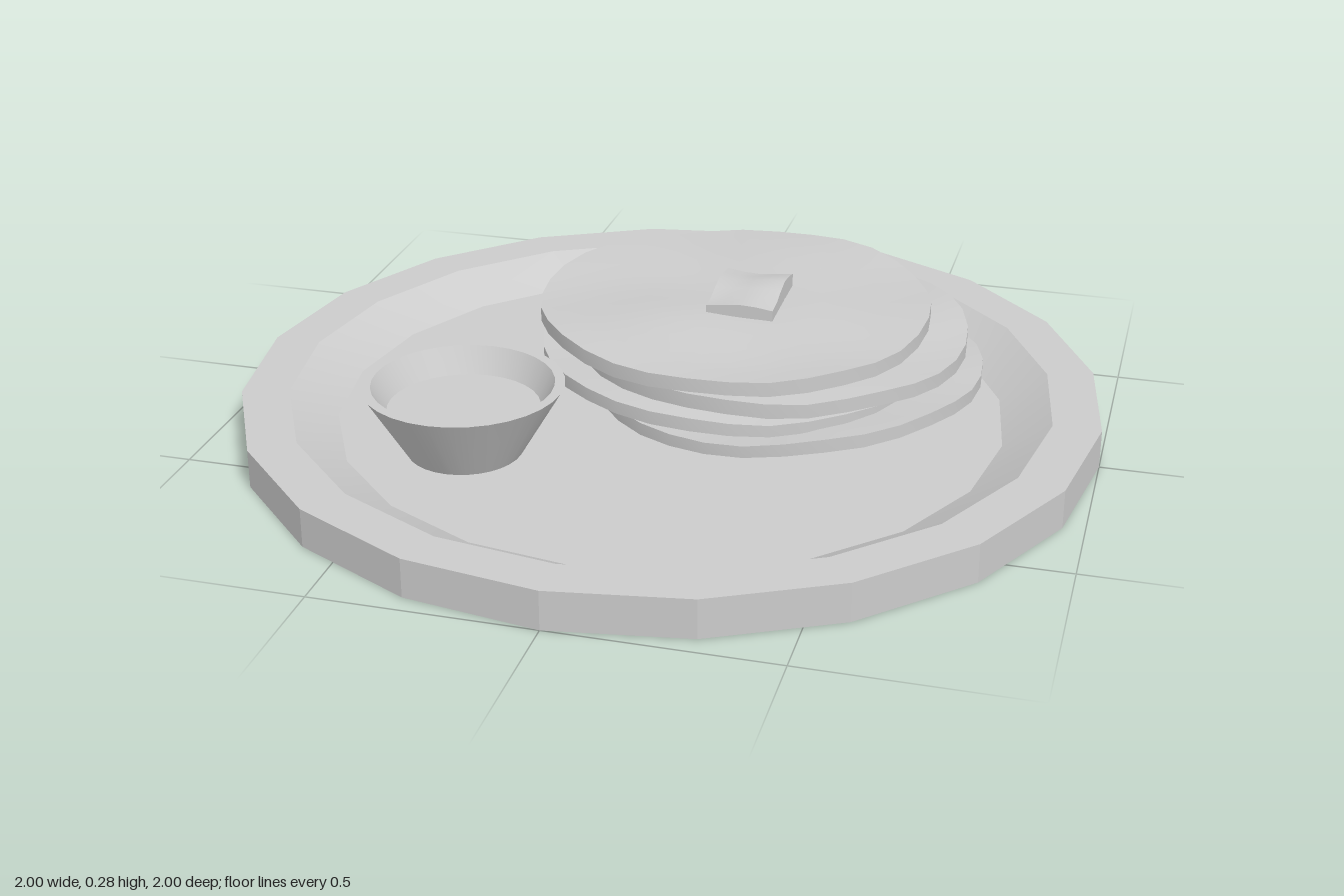
import * as THREE from 'three';
import { toCreasedNormals } from 'three/addons/utils/BufferGeometryUtils.js';

const grey = () => new THREE.MeshStandardMaterial({ color: 0xcccccc });
const points = (list) => list.map(([r, y]) => new THREE.Vector2(r, y));

function part(name, geometry, crease) {
  const mesh = new THREE.Mesh(toCreasedNormals(geometry, crease), grey());
  mesh.name = name;
  return mesh;
}

// Gentle uneven height field, different for every seed
function wave(x, z, seed) {
  return 0.5 * Math.sin(7 * x + 2.1 * seed) * Math.cos(6 * z + 1.3 * seed)
    + 0.3 * Math.sin(13 * z + 5 * x + seed)
    + 0.2 * Math.sin(17 * x - 9 * z + 3 * seed);
}

// Thin disc with a wavy body and a slight sideways tilt
function pancake({ name, x, y, seed, tilt, thick, amp }) {
  const R = 0.465;
  const rings = [0, 0.15, 0.3, 0.45, 0.6, 0.75, 0.88, 1].map((t) => t * R);
  const profile = [
    ...rings.map((r) => [r, -thick / 2]),
    ...rings.slice().reverse().map((r) => [r, thick / 2]),
  ];
  const geometry = new THREE.LatheGeometry(points(profile), 32);
  const p = geometry.attributes.position;
  for (let i = 0; i < p.count; i++) {
    const px = p.getX(i), pz = p.getZ(i);
    const swell = p.getY(i) > 0 ? 0.3 * amp * wave(pz, px, seed + 2) : 0;
    p.setY(i, p.getY(i) + amp * wave(px, pz, seed) + swell + tilt * px);
  }
  const mesh = part(name, geometry, 0.7);
  mesh.position.set(x, y, -0.2);
  return mesh;
}

export function createModel() {
  const model = new THREE.Group();
  model.name = 'pancakePlate';

  // Faceted plate with a flat rim and a sunken floor
  model.add(part('plate', new THREE.LatheGeometry(points([
    [0, 0], [1, 0], [1, 0.09], [0.89, 0.09], [0.78, 0.025], [0, 0.025],
  ]), 20), 0.2));

  // Stack of pancakes, bottom to top
  [
    { x: 0.235, y: 0.07, seed: 1, tilt: 0.05, thick: 0.03, amp: 0.014 },
    { x: 0.11, y: 0.118, seed: 4, tilt: -0.02, thick: 0.03, amp: 0.014 },
    { x: 0.195, y: 0.17, seed: 2, tilt: -0.005, thick: 0.035, amp: 0.013 },
    { x: 0.105, y: 0.216, seed: 6, tilt: -0.005, thick: 0.034, amp: 0.013 },
  ].forEach((layer, i) => model.add(pancake({ name: `pancake${i + 1}`, ...layer })));

  // Softened butter pat, sagging with the top pancake
  const pat = new THREE.BoxGeometry(0.16, 0.045, 0.22, 4, 1, 5);
  const p = pat.attributes.position;
  for (let i = 0; i < p.count; i++) {
    const x = p.getX(i), z = p.getZ(i);
    p.setY(i, p.getY(i) + 0.009 * Math.cos(28 * z + 0.6) + 0.005 * Math.sin(30 * x + 12 * z));
  }
  const butter = part('butter', pat, 0.7);
  butter.position.set(0.14, 0.246, -0.2);
  model.add(butter);

  // Dipping bowl with flared walls, and the syrup inside it
  const bowl = new THREE.Group();
  bowl.name = 'syrupBowl';
  bowl.add(part('bowl', new THREE.LatheGeometry(points([
    [0, 0], [0.117, 0], [0.23, 0.19], [0.207, 0.19], [0.173, 0.128], [0, 0.128],
  ]), 32), 0.5));
  const syrup = part('syrup', new THREE.CircleGeometry(0.174, 32).rotateX(-Math.PI / 2), 0.5);
  syrup.position.y = 0.13;
  bowl.add(syrup);
  bowl.position.set(-0.395, 0, 0.33);
  model.add(bowl);

  return model;
}
